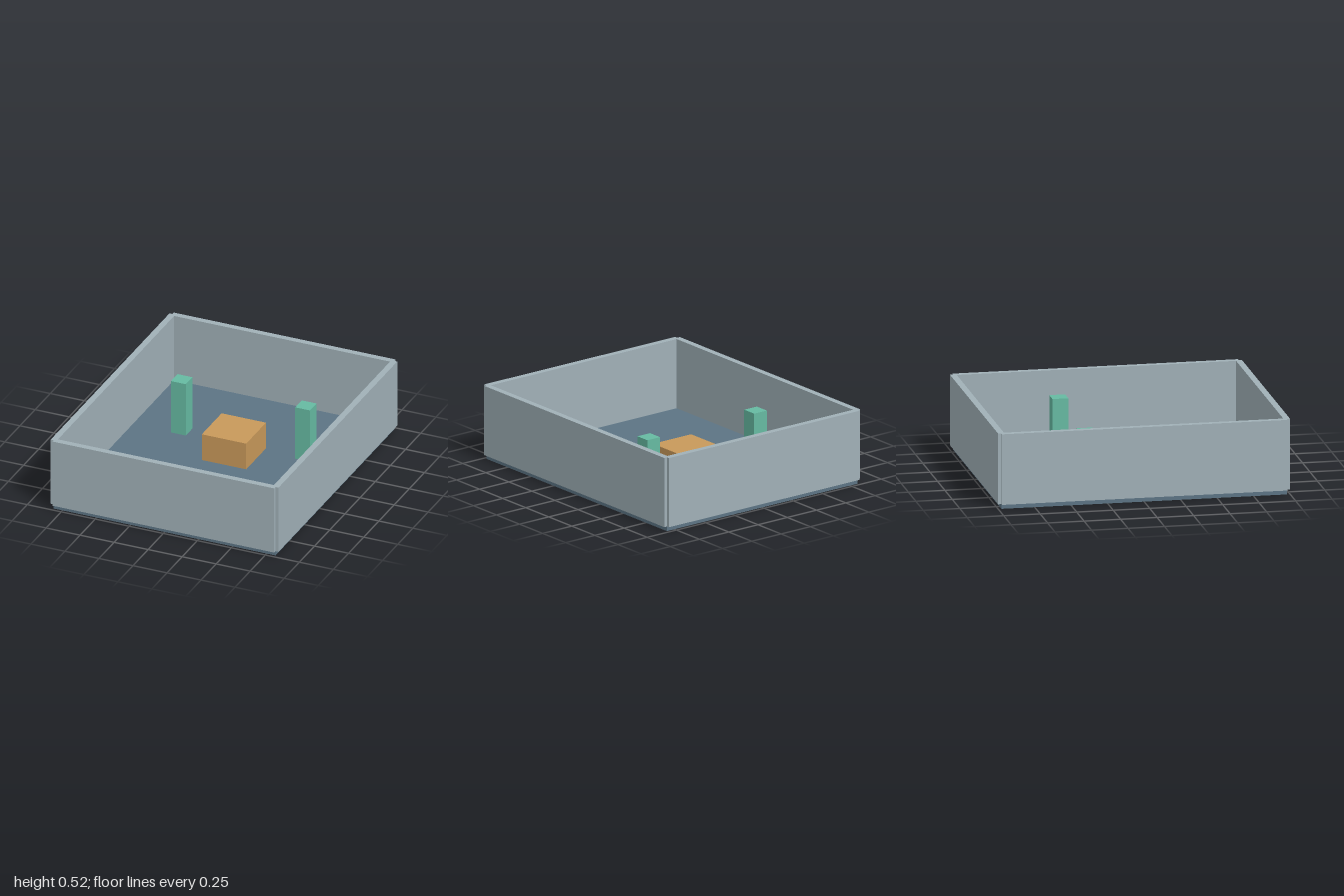
import * as THREE from 'three';

const S = 2 / 18.4; // tray is 18.4 modules long overall
const FLOOR_H = 0.3, WALL_H = 4.5, WALL_T = 0.4, W = 15, L = 18;

function material(name, color) {
  const m = new THREE.MeshStandardMaterial({ color });
  m.name = name;
  return m;
}

export function createModel() {
  const group = new THREE.Group();
  group.name = 'walledTray';
  const slate = material('slate blue', 0x5c7484);
  const grey = material('pale grey', 0xa0b0b7);
  const orange = material('ochre', 0xc8995a);
  const green = material('sea green', 0x66baa2);

  // Box of size w, h, d standing at height y, centred on x, z
  function block(name, mat, w, h, d, x, y, z) {
    const mesh = new THREE.Mesh(new THREE.BoxGeometry(w * S, h * S, d * S), mat);
    mesh.position.set(x * S, (y + h / 2) * S, z * S);
    mesh.name = name;
    group.add(mesh);
  }

  block('floor', slate, W, FLOOR_H, L, 0, 0, 0);

  // Walls straddle the floor edges, leaving notched corners
  for (const s of [-1, 1]) {
    block(s > 0 ? 'frontWall' : 'backWall', grey, W, WALL_H, WALL_T, 0, FLOOR_H, s * L / 2);
    block(s > 0 ? 'leftWall' : 'rightWall', grey, WALL_T, WALL_H, L, s * W / 2, FLOOR_H, 0);
  }

  // Central block with a post on either side
  block('centralBlock', orange, 3, 1.8, 3, 0, FLOOR_H, -1.5);
  for (const s of [-1, 1]) {
    block(s > 0 ? 'leftPost' : 'rightPost', green, 1, 3.6, 1, s * 4.2, FLOOR_H, -3);
  }
  return group;
}
